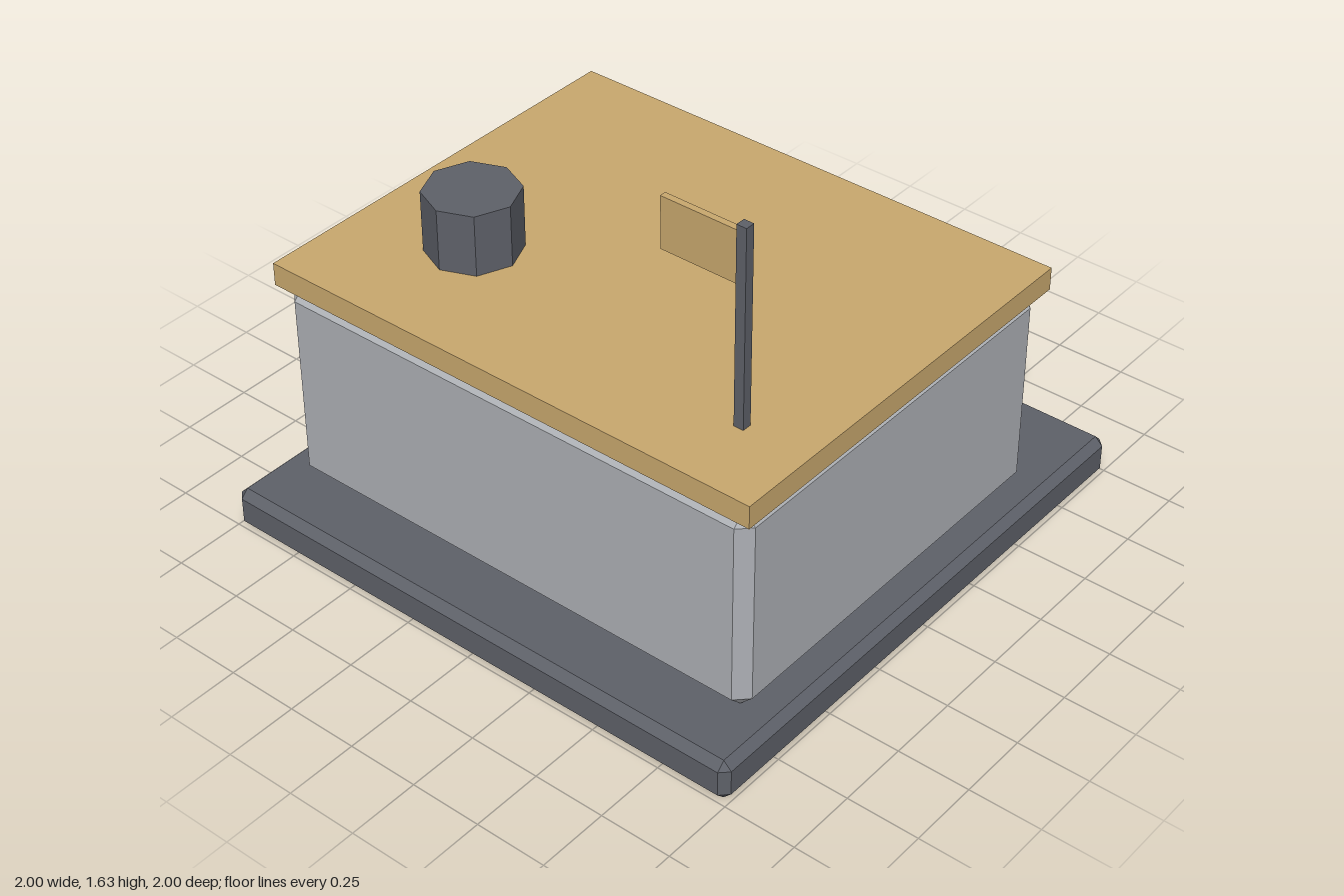
import * as THREE from 'three';
import { ConvexGeometry } from 'three/addons/geometries/ConvexGeometry.js';

const material = (name, color) => {
  const m = new THREE.MeshStandardMaterial({ color });
  m.name = name;
  return m;
};

// Box from min to max corner
function box(min, max) {
  const g = new THREE.BoxGeometry(...min.map((v, i) => max[i] - v));
  return g.translate(...min.map((v, i) => (v + max[i]) / 2));
}

// Box whose edges are all cut at 45 degrees by c
function chamferedBox(min, max, c) {
  const half = min.map((v, i) => (max[i] - v) / 2);
  const points = [];
  for (const sx of [-1, 1]) for (const sy of [-1, 1]) for (const sz of [-1, 1]) {
    const s = [sx, sy, sz];
    for (let axis = 0; axis < 3; axis++) {
      points.push(new THREE.Vector3(...half.map((h, i) => s[i] * (i === axis ? h : h - c))));
    }
  }
  return new ConvexGeometry(points).translate(...min.map((v, i) => (v + max[i]) / 2));
}

export function createModel() {
  const group = new THREE.Group();
  group.name = 'building';

  const dark = material('darkGrey', 0x5e6169);
  const wall = material('lightGrey', 0xadb0b5);
  const tan = material('tan', 0xc9a86e);
  const teal = material('teal', 0x80c1c9);

  const add = (name, geometry, mat) => {
    const mesh = new THREE.Mesh(geometry, mat);
    mesh.name = name;
    group.add(mesh);
  };

  // Building shell
  add('base', chamferedBox([-1, 0, -1], [1, 0.145, 1], 0.028), dark);
  add('walls', chamferedBox([-0.905, 0.145, -0.65], [0.905, 0.87, 0.8], 0.043), wall);
  add('roof', box([-0.927, 0.87, -0.675], [0.927, 0.95, 0.815]), tan);

  // Door and sign strip on the back wall
  add('door', box([-0.29, 0.145, -0.682], [0.29, 0.58, -0.645]), teal);
  add('signStrip', box([-0.725, 0.685, -0.682], [0.725, 0.767, -0.645]), teal);

  // Eight-sided roof vent
  const vent = new THREE.CylinderGeometry(0.158, 0.158, 0.215, 8).toNonIndexed();
  vent.computeVertexNormals();
  vent.translate(-0.51, 1.0575, 0.36);
  add('vent', vent, dark);

  // Flagpole with flag
  add('flagpole', box([0.668, 0.95, 0.526], [0.703, 1.635, 0.559]), dark);
  add('flag', box([0.396, 1.435, 0.531], [0.668, 1.612, 0.553]), tan);

  return group;
}
